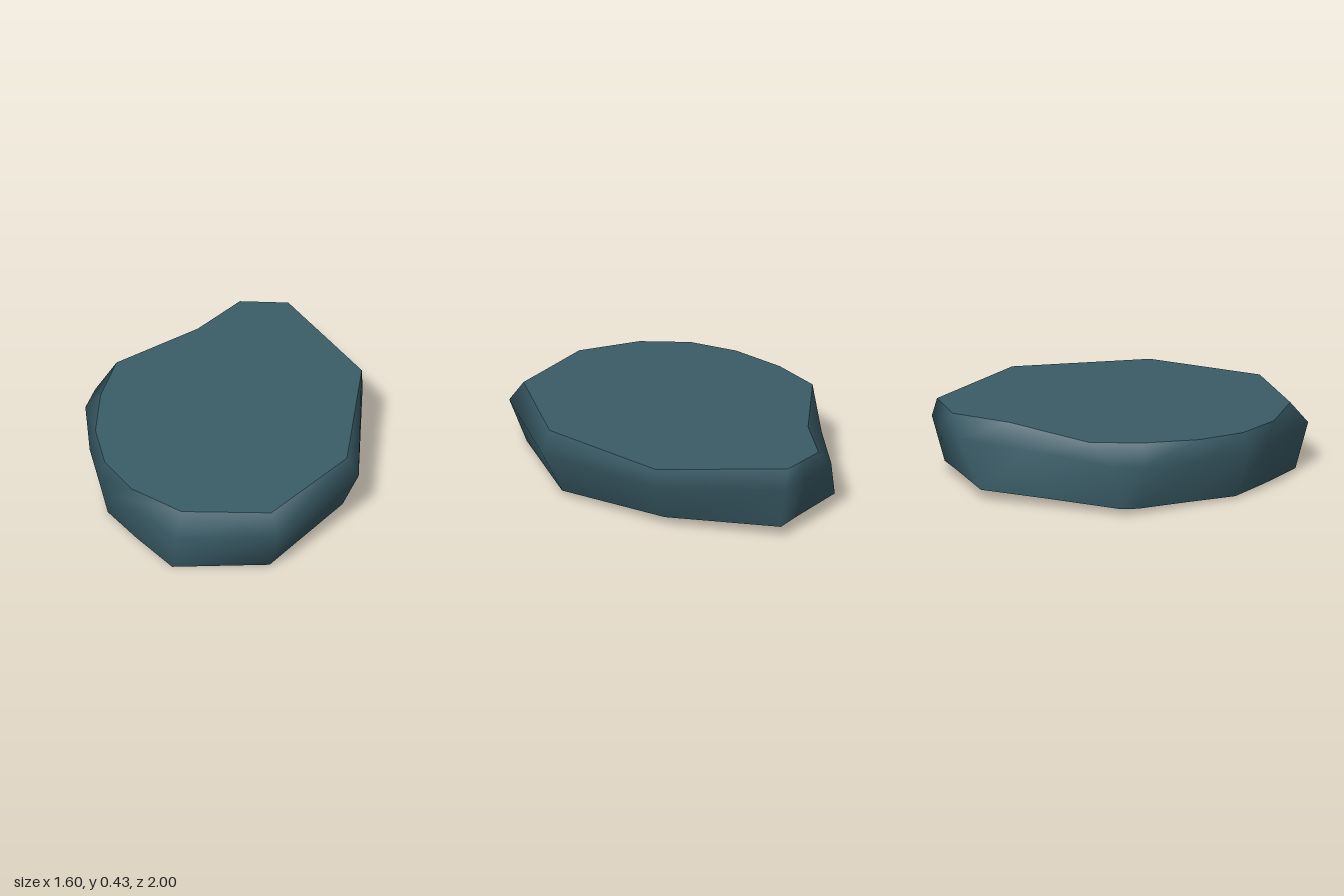
import * as THREE from 'three';

// Outlines as [x, z] corners, counterclockwise seen from above
const bottomRing = [[-0.11, -0.93], [-0.24, -0.86], [-0.555, -0.705], [-0.64, -0.34], [-0.745, 0.06], [-0.72, 0.15],
  [-0.56, 0.41], [-0.42, 0.65], [-0.18, 0.79], [0.1, 0.935], [0.565, 0.7], [0.69, 0.06], [0.37, -0.51]];
const middleRing = [[-0.1, -1], [-0.25, -0.945], [-0.47, -0.825], [-0.61, -0.45], [-0.8, 0.02], [-0.78, 0.18],
  [-0.6, 0.5], [-0.44, 0.72], [-0.3, 0.81], [0.15, 1], [0.64, 0.76], [0.8, 0.09], [0.485, -0.61]];
const topRing = [[-0.13, -0.97], [-0.25, -0.92], [-0.37, -0.87], [-0.47, -0.56], [-0.735, -0.11], [-0.69, 0.18],
  [-0.58, 0.47], [-0.42, 0.69], [-0.19, 0.84], [0.14, 0.905], [0.58, 0.71], [0.74, 0.11], [0.48, -0.61]];

// Lays an outline on a slightly tilted plane
const lay = (ring, height, slopeX) =>
  ring.flatMap(([x, z]) => [x, height - 0.036 * z - slopeX * x, z]);

function surface(positions, index) {
  const geometry = new THREE.BufferGeometry();
  geometry.setAttribute('position', new THREE.Float32BufferAttribute(positions, 3));
  geometry.setIndex(index);
  geometry.computeVertexNormals();
  return geometry;
}

export function createModel() {
  const group = new THREE.Group();
  group.name = 'stoneSlab';
  const stone = new THREE.MeshStandardMaterial({ color: 0x3a5c67, side: THREE.DoubleSide });
  stone.name = 'blueGreyStone';
  const n = topRing.length;

  const bottom = lay(bottomRing, 0.036, 0.003);
  const middle = lay(middleRing, 0.284, 0.01);
  const top = lay(topRing, 0.394, 0.01);

  // Smooth sides, open underneath
  const sideIndex = [];
  for (let row = 0; row < 2; row++) {
    for (let i = 0; i < n; i++) {
      const a = row * n + i, b = row * n + (i + 1) % n;
      sideIndex.push(a, b, b + n, a, b + n, a + n);
    }
  }
  const sides = new THREE.Mesh(surface([...bottom, ...middle, ...top], sideIndex), stone);
  sides.name = 'slabSides';

  // Flat top face, fanned from its centre
  const topIndex = [];
  for (let i = 0; i < n; i++) topIndex.push(n, i, (i + 1) % n);
  const cap = new THREE.Mesh(surface([...top, 0, 0.394, 0], topIndex), stone);
  cap.name = 'slabTop';

  group.add(sides, cap);
  return group;
}
